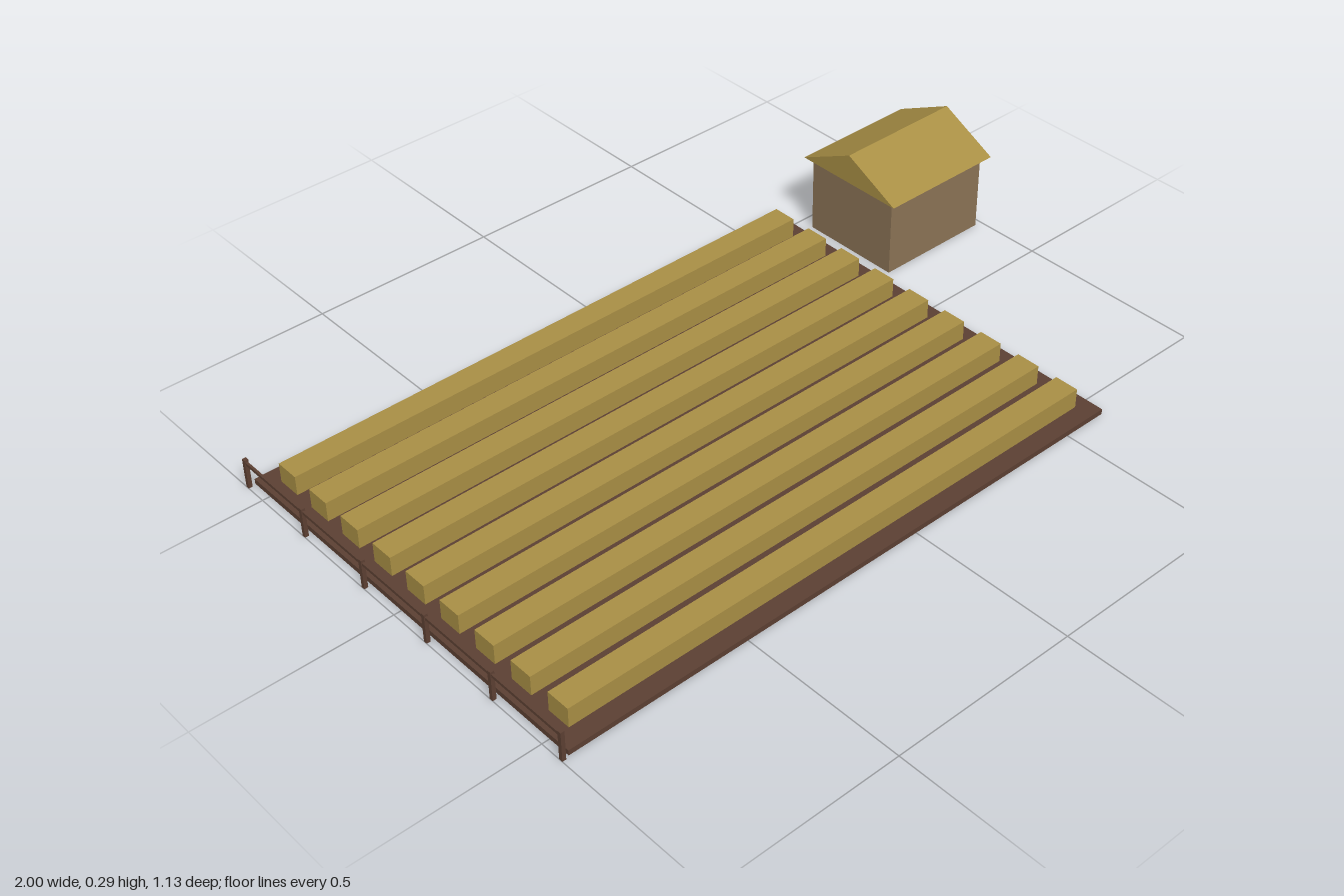
import * as THREE from 'three';

const material = (name, color) => {
  const m = new THREE.MeshStandardMaterial({ color });
  m.name = name;
  return m;
};

export function createModel() {
  const soil = material('dark brown', 0x5c4033);
  const straw = material('straw gold', 0xa98f45);
  const wood = material('light wood', 0x8b7355);
  const model = new THREE.Group();
  model.name = 'farmField';

  // Box given by its lower and upper corners
  const box = (name, mat, [x0, y0, z0], [x1, y1, z1], parent) => {
    const mesh = new THREE.Mesh(new THREE.BoxGeometry(x1 - x0, y1 - y0, z1 - z0), mat);
    mesh.position.set((x0 + x1) / 2, (y0 + y1) / 2, (z0 + z1) / 2);
    mesh.name = name;
    parent.add(mesh);
  };

  // Soil bed
  box('soilBed', soil, [-0.98, 0, -0.56], [0.62, 0.014, 0.56], model);

  // Nine crop rows
  const crops = new THREE.Group();
  crops.name = 'cropRows';
  for (let i = -4; i <= 4; i++) {
    const z = i * 0.12;
    box('cropRow', straw, [-0.94, 0.014, z - 0.032], [0.58, 0.066, z + 0.032], crops);
  }
  model.add(crops);

  // Fence along one end: six posts and a rail
  const fence = new THREE.Group();
  fence.name = 'fence';
  for (let i = 0; i < 6; i++) {
    const z = -0.56 + i * 0.224;
    box('fencePost', soil, [-1, 0, z - 0.005], [-0.99, 0.08, z + 0.005], fence);
  }
  box('fenceRail', soil, [-0.998, 0.066, -0.56], [-0.992, 0.074, 0.56], fence);
  model.add(fence);

  // Shed with a gabled roof whose ridge runs along x
  const shed = new THREE.Group();
  shed.name = 'shed';
  box('shedWalls', wood, [0.66, 0, -0.46], [0.98, 0.21, -0.18], shed);
  const gable = new THREE.Shape();
  gable.moveTo(-0.16, 0);
  gable.lineTo(0.16, 0);
  gable.lineTo(0, 0.08);
  gable.closePath();
  const roof = new THREE.Mesh(
    new THREE.ExtrudeGeometry(gable, { depth: 0.352, bevelEnabled: false }), straw);
  roof.rotation.y = Math.PI / 2;
  roof.position.set(0.646, 0.21, -0.32);
  roof.name = 'shedRoof';
  shed.add(roof);
  model.add(shed);

  return model;
}
